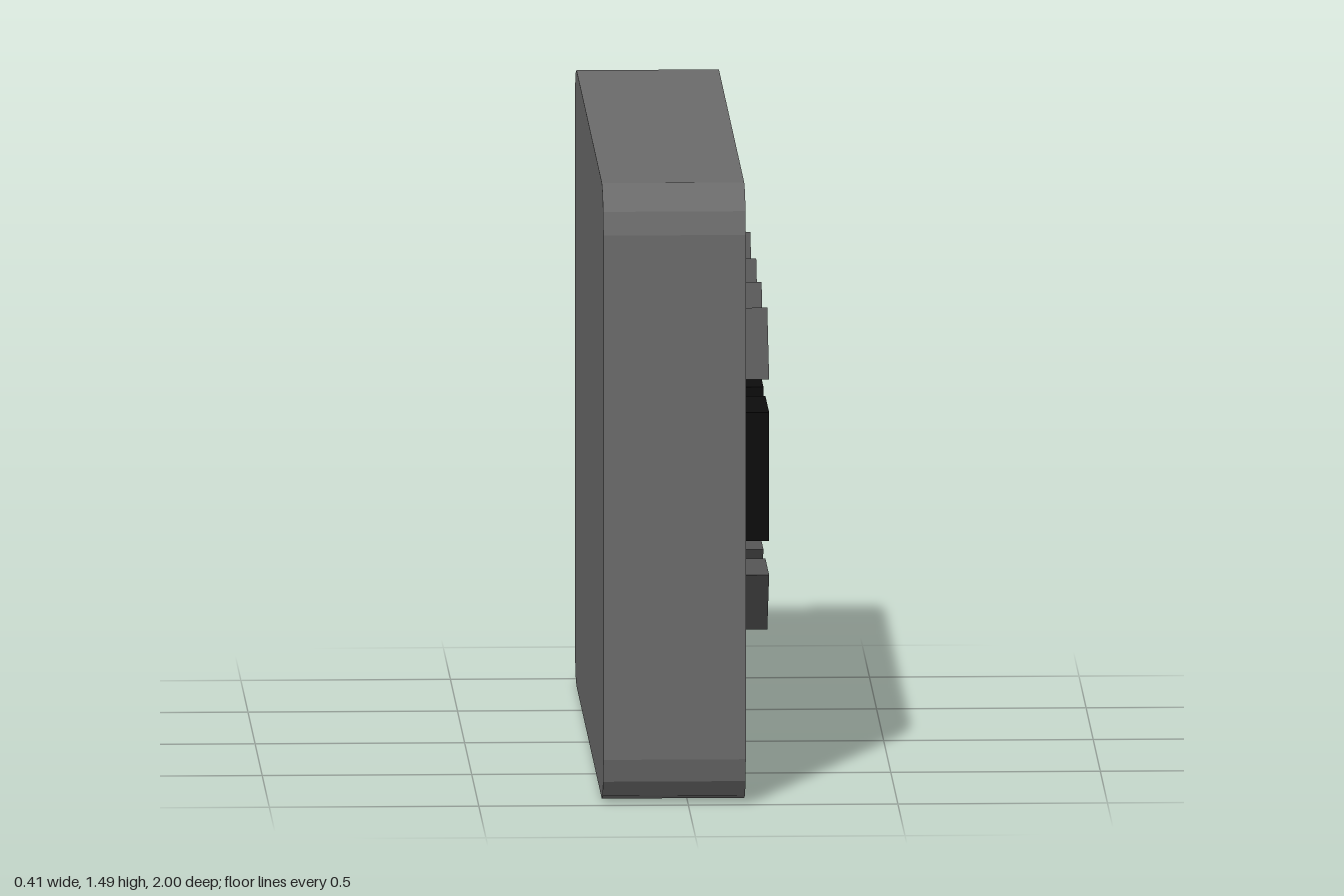
import * as THREE from 'three';

const FRONT = 0.137; // x of the face plate that carries the controls

// Extrudes a (z, y) outline along +x, from x0 to x1.
function slab(points, x0, x1, material, name) {
  const shape = new THREE.Shape(points.map(([z, y]) => new THREE.Vector2(-z, y)));
  const geometry = new THREE.ExtrudeGeometry(shape, { depth: x1 - x0, bevelEnabled: false });
  geometry.rotateY(Math.PI / 2).translate(x0, 0, 0);
  const mesh = new THREE.Mesh(geometry, material);
  mesh.name = name;
  return mesh;
}

// Rectangle outline standing on y = 0, each corner cut into three facets.
function roundedOutline(halfWidth, height, radius, steps) {
  const corners = [
    [halfWidth - radius, height - radius],
    [-halfWidth + radius, height - radius],
    [-halfWidth + radius, radius],
    [halfWidth - radius, radius],
  ];
  const points = [];
  corners.forEach(([z, y], i) => {
    for (let s = 0; s <= steps; s++) {
      const a = (i + s / steps) * Math.PI / 2;
      points.push([z + radius * Math.cos(a), y + radius * Math.sin(a)]);
    }
  });
  return points;
}

export function createModel() {
  const group = new THREE.Group();
  group.name = 'keypadPanel';

  const bodyMaterial = new THREE.MeshStandardMaterial({ color: 0x6a6a6a, flatShading: true });
  const arrowMaterial = new THREE.MeshStandardMaterial({ color: 0x555555, flatShading: true });
  const displayMaterial = new THREE.MeshStandardMaterial({ color: 0x0c0c0c, flatShading: true });

  // Housing
  group.add(slab(roundedOutline(1, 1.485, 0.11, 3), -0.203, FRONT, bodyMaterial, 'housing'));

  // Four columns: up arrow, digit display, down arrow
  const half = 0.13;
  const tip = 0.203;
  [0.568, 0.165, -0.211, -0.622].forEach((z, i) => {
    const column = new THREE.Group();
    column.name = `column${i + 1}`;

    const display = new THREE.Mesh(new THREE.BoxGeometry(tip - FRONT, 0.31, half * 2), displayMaterial);
    display.position.set((tip + FRONT) / 2, 0.745, z);
    display.name = 'display';

    const arrow = (base, apex, name) =>
      slab([[z - half, base], [z + half, base], [z, apex]], FRONT, tip, arrowMaterial, name);
    column.add(display, arrow(0.98, 1.133, 'upArrow'), arrow(0.508, 0.357, 'downArrow'));
    group.add(column);
  });

  return group;
}
